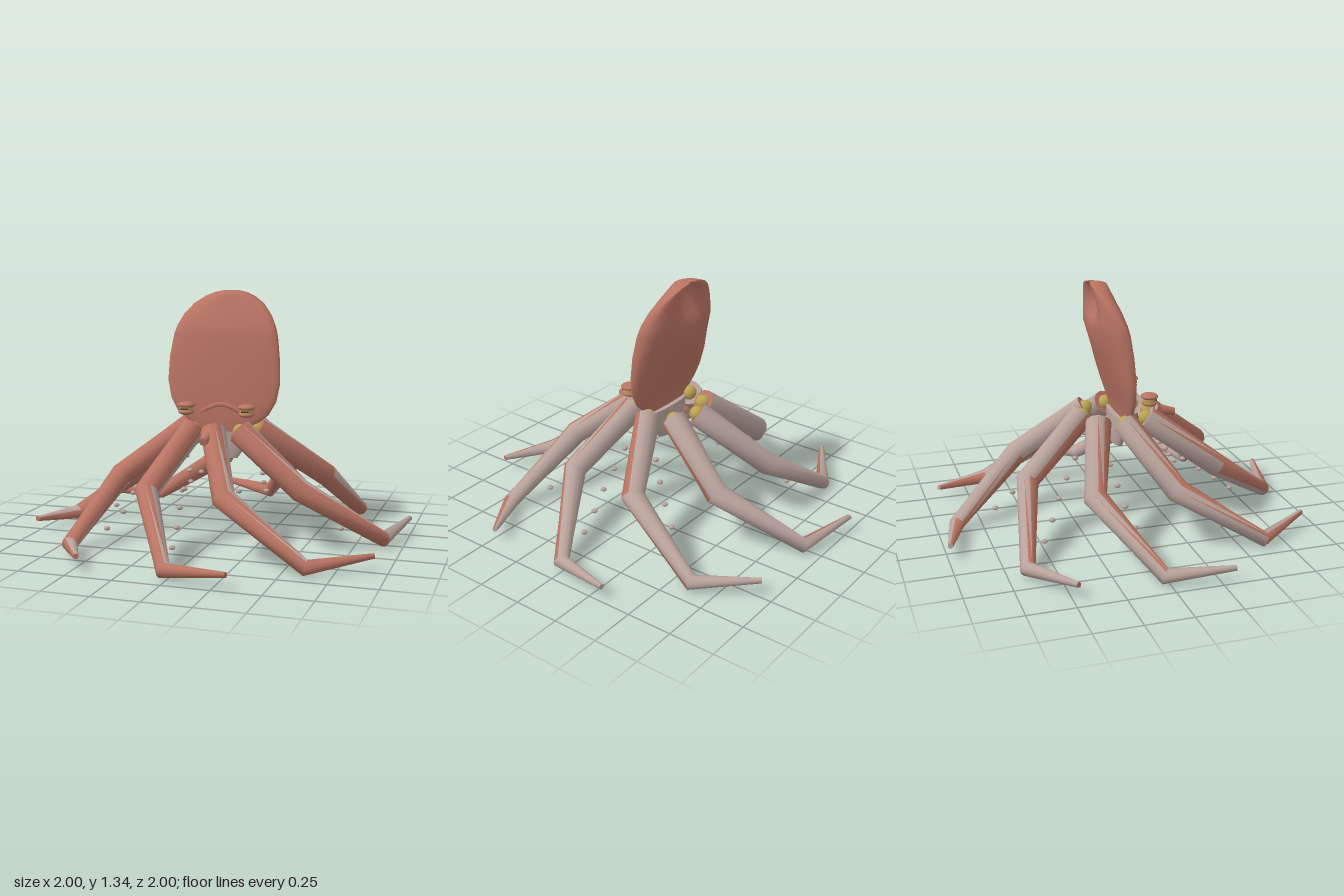
import * as THREE from 'three';

const mat = (name, color, side = THREE.FrontSide) => {
  const m = new THREE.MeshStandardMaterial({ color, side });
  m.name = name;
  return m;
};
const V = (x, y, z) => new THREE.Vector3(x, y, z);

// Skins closed rings, caps both ends, and sorts faces into two groups by test(normal)
function loft(rings, test = () => true) {
  const n = rings[0].length, pts = rings.flat(), lists = [[], []];
  const tri = (a, b, c) => {
    const normal = new THREE.Triangle(pts[a], pts[b], pts[c]).getNormal(V(0, 0, 0));
    lists[test(normal) ? 0 : 1].push(a, b, c);
  };
  for (let i = 0; i < rings.length - 1; i++) {
    for (let j = 0; j < n; j++) {
      const k = (j + 1) % n, a = i * n + j, b = i * n + k;
      tri(a, b, a + n);
      tri(b, b + n, a + n);
    }
  }
  [rings[0], rings[rings.length - 1]].forEach((ring, end) => {
    const base = pts.length, mid = V(0, 0, 0);
    ring.forEach(p => mid.addScaledVector(p, 1 / n));
    pts.push(...ring, mid);
    for (let j = 0; j < n; j++) {
      const k = (j + 1) % n;
      if (end) tri(base + n, base + j, base + k);
      else tri(base + n, base + k, base + j);
    }
  });
  const g = new THREE.BufferGeometry().setFromPoints(pts);
  g.setIndex([...lists[0], ...lists[1]]);
  g.addGroup(0, lists[0].length, 0);
  g.addGroup(lists[0].length, lists[1].length, 1);
  g.computeVertexNormals();
  return g;
}

// Rings of a tapering, bent limb
function limbRings(path, radii, sides) {
  return path.map((p, i) => {
    const t = V(0, 0, 0);
    if (i > 0) t.add(p.clone().sub(path[i - 1]).normalize());
    if (i < path.length - 1) t.add(path[i + 1].clone().sub(p).normalize());
    t.normalize();
    const u = t.clone().cross(V(0, 1, 0)).normalize(), v = t.clone().cross(u);
    return Array.from({ length: sides }, (_, j) => {
      const a = (j / sides) * Math.PI * 2;
      return p.clone().addScaledVector(u, radii[i] * Math.cos(a)).addScaledVector(v, radii[i] * Math.sin(a));
    });
  });
}

// Body rings from rows of [y, half width, front z, rim z, back z, dent]
function bodyRings(rows, sides = 32) {
  return rows.map(([y, w, front, rim, back, dent = 0]) =>
    Array.from({ length: sides }, (_, j) => {
      const a = (j / sides) * Math.PI * 2, c = Math.cos(a), s = Math.sin(a);
      const depth = Math.pow(Math.abs(c), 0.85);
      let z = rim + (c > 0 ? front - rim : back - rim) * depth;
      if (c < 0) z += dent * Math.max(0, 1 - Math.abs(s) / 0.5);
      return V(w * s, y, z);
    }));
}

export function createModel() {
  const skin = mat('skin', 0xb97463);
  const pale = mat('paleSkin', 0xb9a39c);
  const gold = mat('gold', 0xb8a453);
  const dark = mat('pupil', 0x4a332c);
  const group = new THREE.Group();
  const add = (name, geo, material, parent = group) => {
    const m = new THREE.Mesh(geo, material);
    m.name = name;
    parent.add(m);
    return m;
  };

  // Mantle, leaning back, with a scoop at the upper rear
  add('mantle', loft(bodyRings([
    [0.58, 0.15, 0.045, 0.02, 0.01],
    [0.63, 0.2, 0.05, 0.02, 0.0],
    [0.68, 0.26, 0.05, 0.02, -0.01],
    [0.75, 0.3, 0.048, 0.015, -0.035],
    [0.85, 0.32, 0.045, 0.01, -0.07],
    [0.98, 0.313, 0.035, 0.0, -0.11],
    [1.1, 0.295, 0.025, -0.02, -0.15],
    [1.15, 0.28, 0.015, -0.035, -0.15, 0.03],
    [1.21, 0.25, -0.005, -0.06, -0.15, 0.07],
    [1.27, 0.2, -0.027, -0.1, -0.15, 0.08],
    [1.31, 0.14, -0.042, -0.13, -0.15, 0.07],
    [1.33, 0.09, -0.05, -0.14, -0.15, 0.05],
    [1.34, 0.04, -0.08, -0.145, -0.15, 0.02],
  ])), [skin, pale]);

  // Pale underside of the head
  add('headUnderside', loft(bodyRings([
    [0.43, 0.08, 0.03, 0.01, -0.02],
    [0.5, 0.13, 0.04, 0.01, -0.03],
    [0.6, 0.17, 0.044, 0.01, -0.02],
  ])), pale);

  // Arched lower edge of the mantle
  const arch = new THREE.CatmullRomCurve3([
    V(-0.17, 0.64, 0.025), V(-0.09, 0.7, 0.037), V(0, 0.73, 0.04), V(0.09, 0.7, 0.037), V(0.17, 0.64, 0.025)]);
  add('mantleEdge', new THREE.TubeGeometry(arch, 16, 0.016, 8), skin);

  // Eyes: two lids around a golden band with a slit pupil
  for (const side of [1, -1]) {
    const eye = new THREE.Group();
    eye.name = side > 0 ? 'leftEye' : 'rightEye';
    eye.position.set(0.17 * side, 0.714, 0.14);
    const lid = new THREE.SphereGeometry(0.048, 20, 12);
    add('upperLid', lid, skin, eye).position.y = 0.02;
    add('lowerLid', lid, skin, eye).position.y = -0.018;
    eye.children[0].scale.y = 0.36;
    eye.children[1].scale.set(0.88, 0.36, 0.88);
    add('iris', new THREE.CylinderGeometry(0.036, 0.036, 0.03, 20), gold, eye);
    add('pupil', new THREE.BoxGeometry(0.04, 0.008, 0.008), dark, eye).position.z = 0.034;
    group.add(eye);
  }

  // Siphon
  const siphon = add('siphon', new THREE.CylinderGeometry(0.022, 0.035, 0.14, 16), skin);
  siphon.position.set(-0.005, 0.59, 0.275);
  siphon.quaternion.setFromUnitVectors(V(0, 1, 0), V(0, -0.25, 1).normalize());

  // Eight arms swirling round the body, skin-coloured towards the front
  const up = V(0, 1, 0);
  const path = [V(0, 0.6, 0.19), V(0.17, 0.33, 0.54), V(0.62, 0.043, 0.65), V(0.925, 0.08, 0.47)];
  const knob = new THREE.SphereGeometry(0.042, 16, 10);
  const sucker = new THREE.SphereGeometry(0.017, 10, 8);
  for (let i = 0; i < 8; i++) {
    const turn = (i * Math.PI) / 4;
    const pts = path.map(p => p.clone().applyAxisAngle(up, turn));
    const arm = new THREE.Group();
    arm.name = 'arm' + (i + 1);
    const rings = limbRings(pts, [0.07, 0.063, 0.042, 0.014], 12);
    add('limb', loft(rings, n => n.z > 0.22), [skin, pale], arm);
    add('armKnob', knob, gold, arm).position.copy(pts[0]);
    // Row of suckers beneath the arm
    for (let k = 0; k < 5; k++) {
      const r = 0.28 + 0.099 * k, a = turn + THREE.MathUtils.degToRad([22, 29.5, 34, 38, 40][k]);
      const s = add('sucker', sucker, pale, arm);
      s.position.set(r * Math.sin(a), 0.4 - 0.077 * k, r * Math.cos(a));
      s.scale.y = 0.7;
    }
    group.add(arm);
  }
  return group;
}
